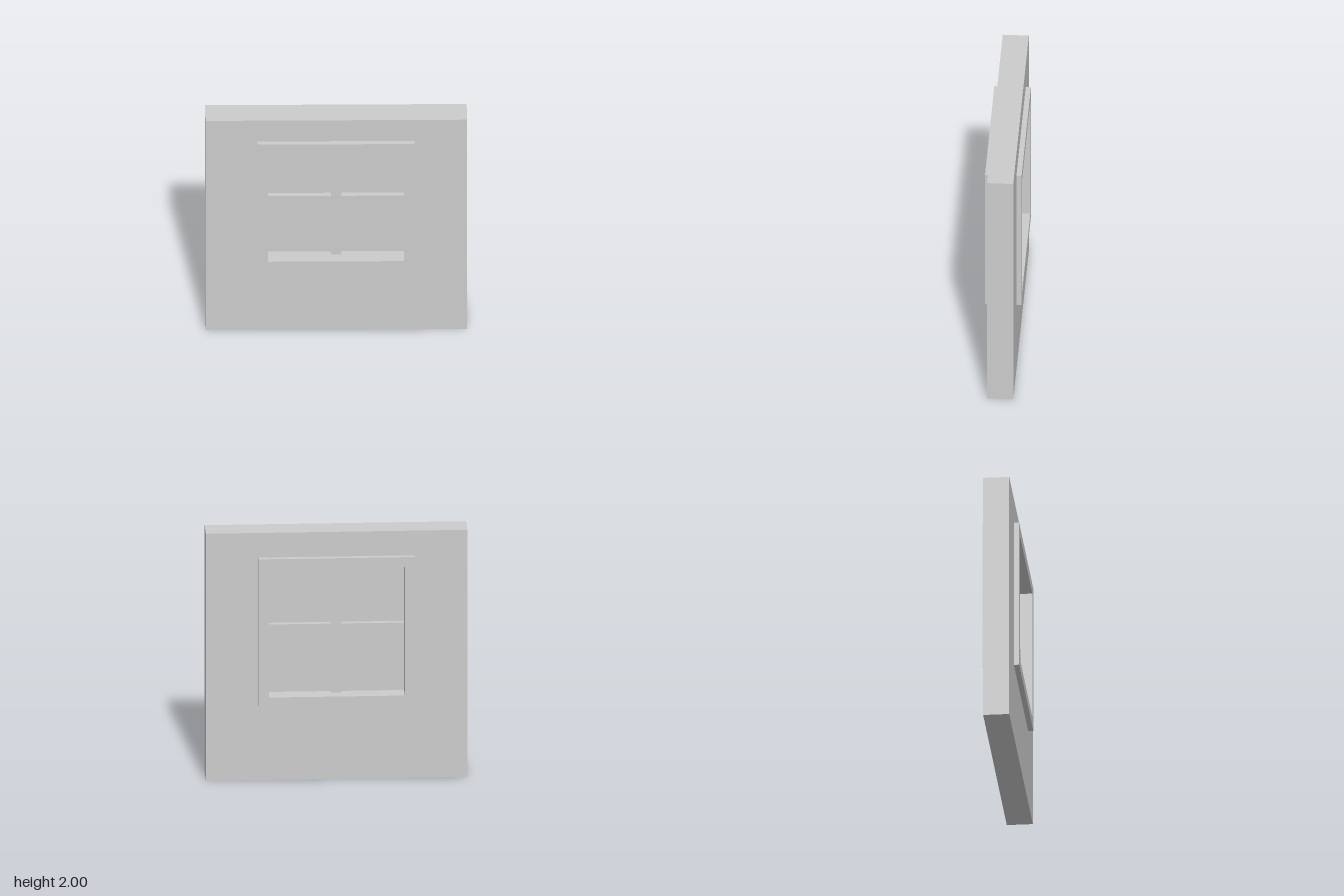
import * as THREE from 'three';

const material = new THREE.MeshStandardMaterial({ color: 0xcccccc, flatShading: true });

const WINDOW_Y = 1.2;   // height of the window centre
const OUTER = 1.2;      // outer size of the frame
const INNER = 1.04;     // clear opening inside the frame
const BAR = 0.08;       // width of the glazing bars

// Corner points of a rectangle given by its centre and size
function rectPoints(cx, cy, w, h) {
  return [[-1, -1], [1, -1], [1, 1], [-1, 1]]
    .map(([sx, sy]) => new THREE.Vector2(cx + sx * w / 2, cy + sy * h / 2));
}

// Extrude an outline, with optional holes, centred on z = 0
function slab(name, points, depth, holes = []) {
  const shape = new THREE.Shape(points);
  holes.forEach((hole) => shape.holes.push(new THREE.Path(hole)));
  const geometry = new THREE.ExtrudeGeometry(shape, { depth, bevelEnabled: false });
  geometry.translate(0, 0, -depth / 2);
  const mesh = new THREE.Mesh(geometry, material);
  mesh.name = name;
  return mesh;
}

// Outline of a plus sign, built by turning one arm a quarter at a time
function crossPoints(size, width) {
  const points = [];
  const a = size / 2, b = width / 2;
  for (let i = 0; i < 4; i++) {
    for (const [x, y] of [[a, -b], [a, b], [b, b]]) {
      const p = new THREE.Vector2(x, y).rotateAround(new THREE.Vector2(), i * Math.PI / 2);
      points.push(p.add(new THREE.Vector2(0, WINDOW_Y)));
    }
  }
  return points;
}

export function createModel() {
  const group = new THREE.Group();
  group.name = 'wallWithWindow';
  const square = (size) => rectPoints(0, WINDOW_Y, size, size);

  // Wall with an opening for the window
  group.add(slab('wall', rectPoints(0, 1, 2, 2), 0.2, [square(OUTER)]));

  // Frame, standing proud of the wall on both faces
  group.add(slab('windowFrame', square(OUTER), 0.28, [square(INNER)]));

  // Flush crossing bars
  group.add(slab('glazingBars', crossPoints(INNER, BAR), 0.1));

  // Thin pane in the middle of the wall
  group.add(slab('glassPane', square(INNER), 0.02));

  return group;
}
